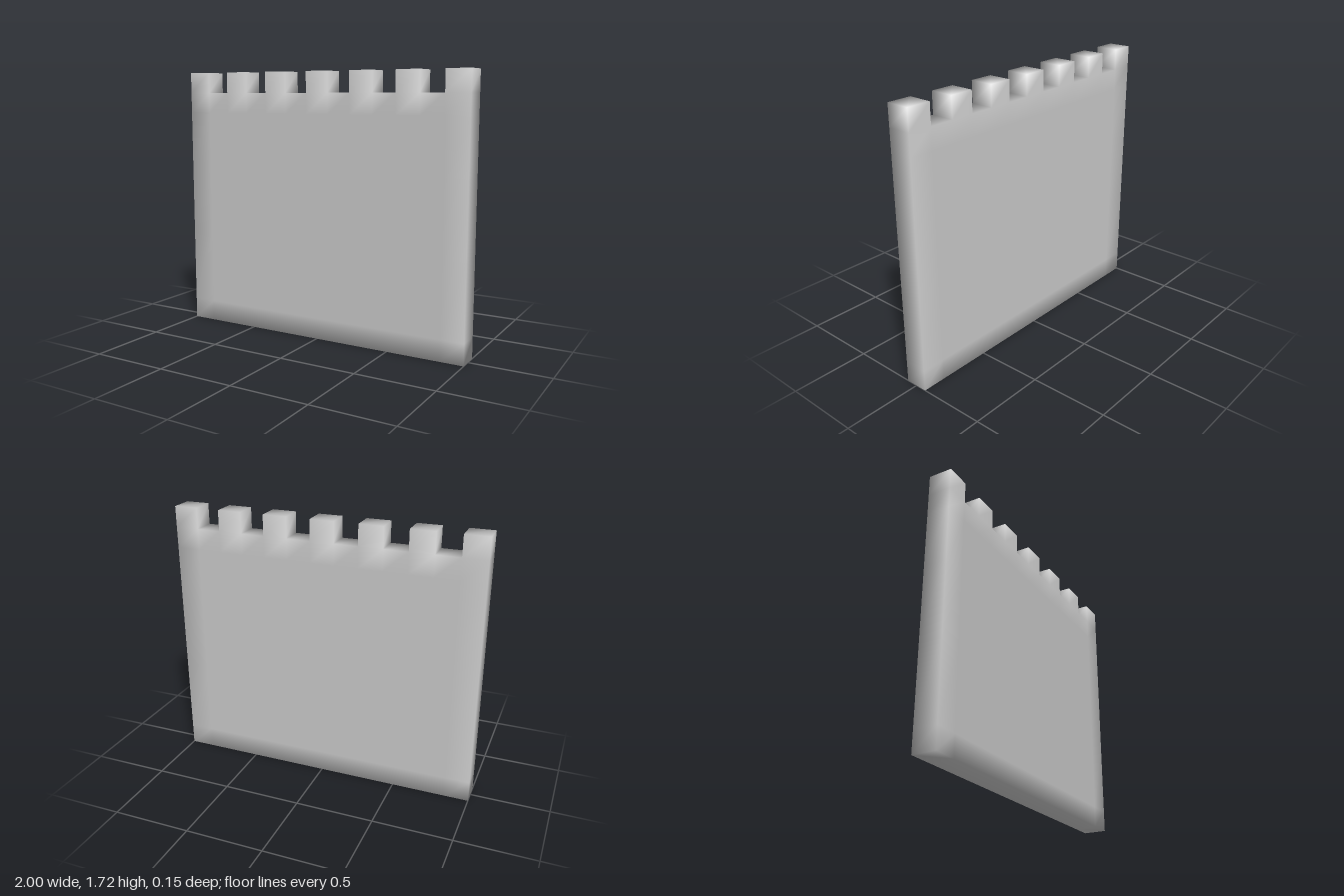
import * as THREE from 'three';

// Crenellated wall: a grid of blocks whose top row keeps every second block.
const COLS = 13;
const LEVELS = [0, 0.135, 0.62, 1.1, 1.45, 1.585, 1.72];
const HALF_DEPTH = 0.075;
const ROWS = LEVELS.length - 1;

function solid(i, j) {
  if (i < 0 || i >= COLS || j < 0 || j >= ROWS) return false;
  return j < ROWS - 1 || i % 2 === 0;
}

function wallGeometry() {
  const positions = [];
  const indices = [];

  // shared corner points, so the shading runs smoothly round the edges
  for (const z of [-HALF_DEPTH, HALF_DEPTH])
    for (const y of LEVELS)
      for (let i = 0; i <= COLS; i++) positions.push(-1 + (2 * i) / COLS, y, z);

  const id = (i, j, k) => (k * LEVELS.length + j) * (COLS + 1) + i;
  const quad = (a, b, c, d) => indices.push(a, b, c, a, c, d);

  for (let j = 0; j < ROWS; j++) {
    for (let i = 0; i < COLS; i++) {
      if (!solid(i, j)) continue;
      const [a, b, c, d] = [id(i, j, 1), id(i + 1, j, 1), id(i + 1, j + 1, 1), id(i, j + 1, 1)];
      const [e, f, g, h] = [id(i, j, 0), id(i + 1, j, 0), id(i + 1, j + 1, 0), id(i, j + 1, 0)];
      quad(a, b, c, d); // front
      quad(f, e, h, g); // back
      if (!solid(i + 1, j)) quad(b, f, g, c);
      if (!solid(i - 1, j)) quad(e, a, d, h);
      if (!solid(i, j + 1)) quad(d, c, g, h);
      if (!solid(i, j - 1)) quad(e, f, b, a);
    }
  }

  const geometry = new THREE.BufferGeometry();
  geometry.setAttribute('position', new THREE.Float32BufferAttribute(positions, 3));
  geometry.setIndex(indices);
  geometry.computeVertexNormals();

  // the broad faces dominate the soft edge shading
  const normals = geometry.attributes.normal;
  for (let n = 0; n < normals.count; n++) normals.setZ(n, normals.getZ(n) * 2);
  geometry.normalizeNormals();
  return geometry;
}

export function createModel() {
  const model = new THREE.Group();
  model.name = 'battlementWall';
  const wall = new THREE.Mesh(wallGeometry(), new THREE.MeshStandardMaterial({ color: 0xcccccc }));
  wall.name = 'wallWithMerlons';
  model.add(wall);
  return model;
}
